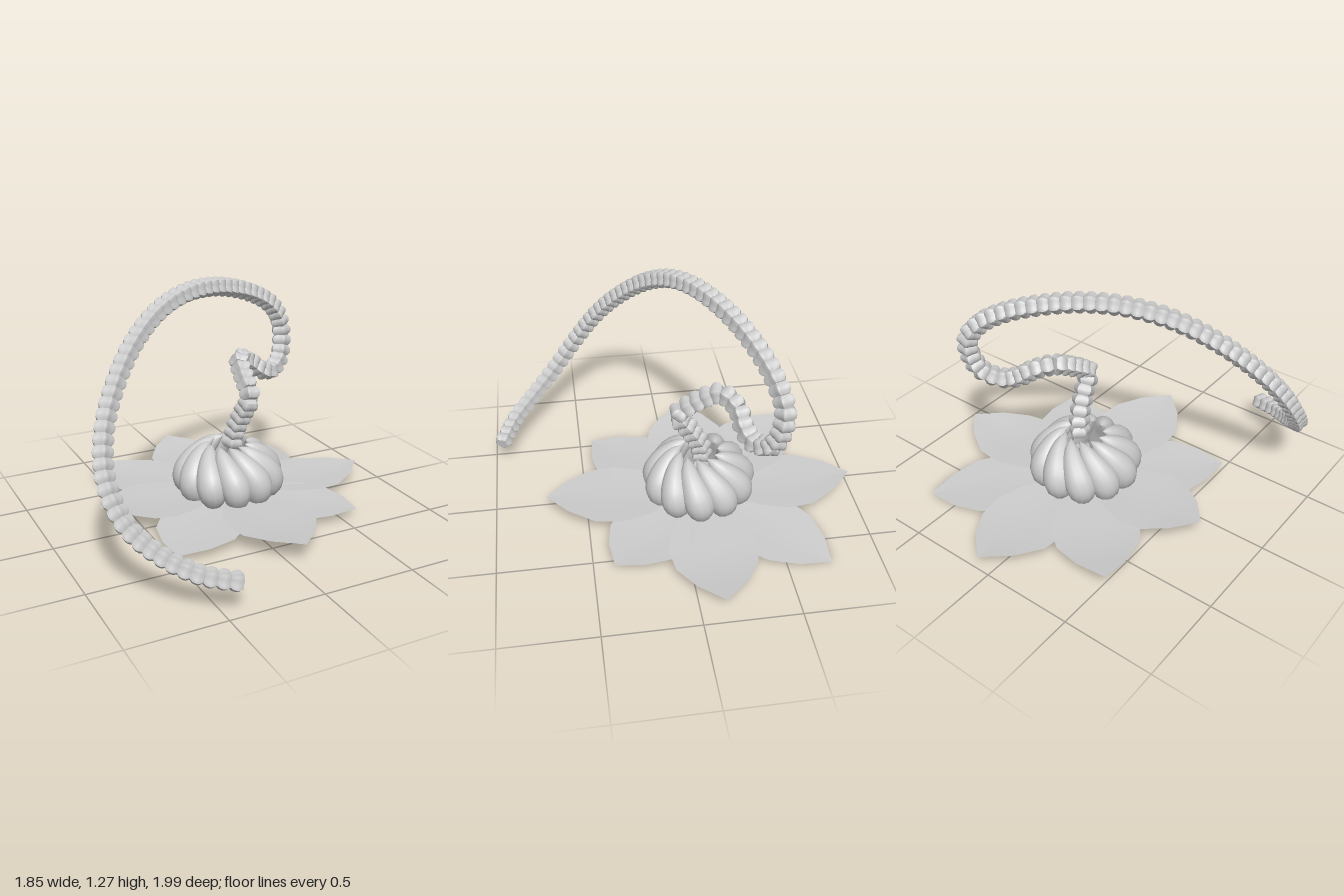
import * as THREE from 'three';
import { toCreasedNormals } from 'three/addons/utils/BufferGeometryUtils.js';

const V = (x, y, z) => new THREE.Vector3(x, y, z);
const CENTRE = V(0.065, 0, -0.13);
const material = new THREE.MeshStandardMaterial({ color: 0xcccccc });
const thin = new THREE.MeshStandardMaterial({ color: 0xcccccc, side: THREE.DoubleSide });

// Linear lookup of a value in an evenly spaced list
function sample(list, t) {
  const f = Math.min(Math.max(t, 0), 1) * (list.length - 1);
  const i = Math.min(Math.floor(f), list.length - 2);
  return THREE.MathUtils.lerp(list[i], list[i + 1], f - i);
}

// Thin angular petal along +x, built from cross rows [distance, half width, lift along the petal]
function petalGeometry(length, midY, tipY) {
  const rows = [[0.1, 0.03], [0.22, 0.12], [0.36, 0.19], [0.54, 0.235], [0.7, 0.215], [0.86, 0.13], [1, 0]];
  const across = [-1, -0.5, 0, 0.5, 1];
  const positions = [], index = [];
  rows.forEach(([u, half], r) => {
    const y = u < 0.7 ? THREE.MathUtils.lerp(0.085, midY, u / 0.7)
      : THREE.MathUtils.lerp(midY, tipY, (u - 0.7) / 0.3);
    across.forEach((s, c) => {
      positions.push(u * length, y + 0.012 * (Math.abs(s) - 0.5) * (half / 0.235), s * half);
      if (r && c) {
        const d = r * 5 + c, a = d - 6;
        index.push(a, a + 1, d, a, d, d - 1);
      }
    });
  });
  const geometry = new THREE.BufferGeometry();
  geometry.setAttribute('position', new THREE.Float32BufferAttribute(positions, 3));
  geometry.setIndex(index);
  geometry.computeVertexNormals();
  return geometry;
}

// Plump pod: a tube whose radius follows a list of values
function podGeometry() {
  // [radius from the flower axis, height, twist]
  const path = [[0.165, 0.095, -0.06], [0.225, 0.125, -0.03], [0.232, 0.175, 0], [0.205, 0.24, 0.12],
    [0.165, 0.3, 0.3], [0.125, 0.345, 0.52], [0.1, 0.365, 0.72]];
  const curve = new THREE.CatmullRomCurve3(
    path.map(([r, y, a]) => V(r * Math.cos(a), y, r * Math.sin(a))));
  const steps = 24, sides = 14;
  const geometry = new THREE.TubeGeometry(curve, steps, 1, sides);
  const radii = [0.001, 0.055, 0.075, 0.083, 0.082, 0.076, 0.067, 0.056, 0.044, 0.028, 0.001];
  const p = geometry.attributes.position, v = V(0, 0, 0);
  for (let i = 0; i < p.count; i++) {
    const t = Math.floor(i / (sides + 1)) / steps;
    const c = curve.getPointAt(t);
    v.fromBufferAttribute(p, i).sub(c).multiplyScalar(sample(radii, t)).add(c);
    p.setXYZ(i, v.x, v.y, v.z);
  }
  geometry.computeVertexNormals();
  return geometry;
}

// Lobed bead of unit radius and height along y
function beadGeometry() {
  const sides = 20, levels = 4;
  const geometry = new THREE.CylinderGeometry(1, 1, 1, sides, levels);
  const profile = [0.72, 0.98, 1.04, 0.98, 0.72];
  const p = geometry.attributes.position;
  for (let i = 0; i < p.count; i++) {
    const x = p.getX(i), z = p.getZ(i), y = p.getY(i);
    const lobe = 0.88 + 0.12 * Math.cos(5 * Math.atan2(z, x));
    const k = sample(profile, y + 0.5) * lobe;
    p.setXYZ(i, x * k, y, z * k);
  }
  return toCreasedNormals(geometry, 0.7);
}

export function createModel() {
  const model = new THREE.Group();
  model.name = 'flowerWithTendril';

  // Eight flat petals: [length, middle height, tip height], from the left side round to the front
  const petals = new THREE.Group();
  petals.name = 'petals';
  petals.position.copy(CENTRE);
  [[0.86, 0.065, 0.09], [0.86, 0.04, 0.015], [0.87, 0.075, 0.1], [0.85, 0.085, 0.115],
    [0.765, 0.1, 0.125], [0.79, 0.06, 0.055], [0.85, 0.1, 0.125], [0.735, 0.06, 0.065]]
    .forEach((spec, i) => {
      const petal = new THREE.Mesh(petalGeometry(...spec), thin);
      petal.name = 'petal';
      petal.rotation.y = i * Math.PI / 4;
      petals.add(petal);
    });
  model.add(petals);

  // Swirled ring of pods around an open centre
  const bulb = new THREE.Group();
  bulb.name = 'bulb';
  bulb.position.copy(CENTRE);
  const podShape = podGeometry(), podCount = 11;
  for (let i = 0; i < podCount; i++) {
    const pod = new THREE.Mesh(podShape, material);
    pod.name = 'pod';
    pod.rotation.y = (i / podCount) * Math.PI * 2 + Math.PI / 2;
    bulb.add(pod);
  }
  model.add(bulb);

  // Curling tendril of lobed beads
  const curve = new THREE.CatmullRomCurve3([
    [0.09, 0.33, -0.14], [0.105, 0.43, -0.125], [0.122, 0.55, -0.065], [0.135, 0.66, -0.005],
    [0.145, 0.73, -0.09], [0.18, 0.8, -0.22], [0.27, 0.77, -0.29], [0.36, 0.7, -0.31],
    [0.44, 0.67, -0.34], [0.53, 0.71, -0.4], [0.57, 0.82, -0.44], [0.56, 0.94, -0.455],
    [0.49, 1.04, -0.43], [0.36, 1.125, -0.38], [0.19, 1.19, -0.31], [0, 1.23, -0.22],
    [-0.2, 1.23, -0.12], [-0.4, 1.175, -0.01], [-0.58, 1.06, 0.11], [-0.73, 0.9, 0.24],
    [-0.83, 0.73, 0.36], [-0.87, 0.55, 0.48], [-0.83, 0.38, 0.62], [-0.72, 0.27, 0.76],
    [-0.58, 0.2, 0.88], [-0.41, 0.16, 0.955]].map((p) => V(...p)));
  const tendril = new THREE.Group();
  tendril.name = 'tendril';
  const beadShape = beadGeometry();
  const length = curve.getLength(), count = Math.round(length / 0.058);
  const frames = curve.computeFrenetFrames(count * 2);
  for (let i = 0; i < count; i++) {
    const k = i * 2 + 1, radius = THREE.MathUtils.lerp(0.06, 0.051, i / count);
    const bead = new THREE.Mesh(beadShape, material);
    bead.name = 'tendrilBead';
    bead.position.copy(curve.getPointAt((i + 0.5) / count));
    bead.quaternion.setFromRotationMatrix(new THREE.Matrix4().makeBasis(
      frames.normals[k], frames.tangents[k], frames.binormals[k].clone().negate()));
    bead.scale.set(radius, length / count * 1.06, radius);
    tendril.add(bead);
  }
  model.add(tendril);
  return model;
}
